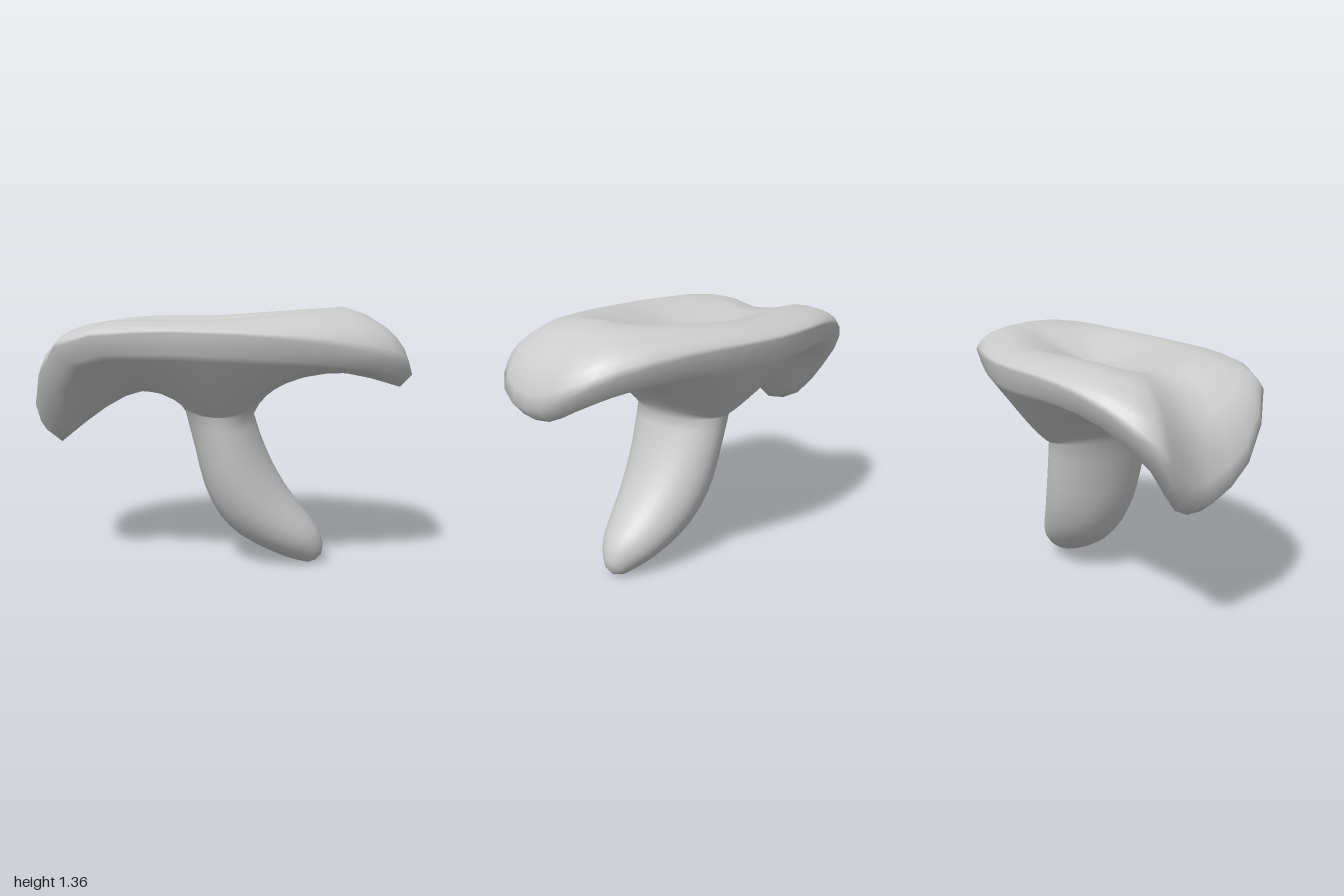
import * as THREE from 'three';

const SEG = 40;
const V = (x, y, z) => new THREE.Vector3(x, y, z);
const lerp = THREE.MathUtils.lerp;

// Cap rim, going round from +x through +z: x, y, z
const RIM = [
  [1.0, 1.02, 0.1], [0.9, 1.1, 0.3], [0.61, 1.17, 0.44], [0.3, 1.21, 0.54], [0, 1.23, 0.59],
  [-0.34, 1.23, 0.56], [-0.74, 1.16, 0.46], [-0.89, 0.87, 0.28], [-0.9, 0.71, 0.08], [-0.96, 0.76, -0.1],
  [-1.0, 0.97, -0.25], [-0.81, 1.15, -0.4], [-0.55, 1.23, -0.51], [-0.3, 1.25, -0.575], [-0.04, 1.25, -0.595],
  [0.2, 1.25, -0.57], [0.48, 1.24, -0.5], [0.8, 1.19, -0.39], [0.96, 1.1, -0.24], [0.99, 1.02, -0.08],
];

// Stem cross-sections from tip to neck: left x, y, right x, y, half depth
const STEM = [
  [0.49, 0.0, 0.57, 0.05, 0.05], [0.42, 0.015, 0.575, 0.11, 0.09], [0.3, 0.06, 0.54, 0.2, 0.15],
  [0.13, 0.15, 0.46, 0.3, 0.2], [0.02, 0.26, 0.37, 0.42, 0.235], [-0.06, 0.42, 0.295, 0.55, 0.26],
  [-0.11, 0.62, 0.235, 0.69, 0.275], [-0.16, 0.82, 0.2, 0.8, 0.285],
];

export function createModel() {
  const rimCurve = new THREE.CatmullRomCurve3(RIM.map((p) => V(...p)), true);
  const rim = Array.from({ length: SEG }, (_, i) => rimCurve.getPoint(i / SEG));
  const angles = rim.map((p) => Math.atan2(p.z / 0.59, p.x));
  const rings = [];

  // Bent, tapering stem
  const leftEdge = new THREE.CatmullRomCurve3(STEM.map((s) => V(s[0], s[1], s[4])));
  const rightEdge = new THREE.CatmullRomCurve3(STEM.map((s) => V(s[2], s[3], s[4])));
  const stemSteps = 14;
  for (let k = 0; k <= stemSteps; k++) {
    const l = leftEdge.getPoint(k / stemSteps);
    const r = rightEdge.getPoint(k / stemSteps);
    rings.push(angles.map((t) => {
      const m = (1 + Math.cos(t)) / 2;
      return V(lerp(l.x, r.x, m), lerp(l.y, r.y, m), l.z * Math.sin(t));
    }));
  }

  // Arched underside, from the neck out to the lower lip of the rim
  const neck = rings[rings.length - 1];
  for (const f of [0.04, 0.1, 0.2, 0.33, 0.48, 0.64, 0.8, 0.92, 1]) {
    rings.push(rim.map((p, i) => {
      const c2 = Math.cos(angles[i]) ** 2;
      const lip = V(p.x * (p.x < 0 ? 0.91 : 0.945), p.y - 0.1 + 0.04 * c2, p.z * 0.96);
      const q = neck[i].clone().lerp(lip, f);
      q.y += (0.19 * c2 - 0.025) * Math.sin(Math.PI * f ** 0.72);
      return q;
    }));
  }

  // Rounded rim, raised ridge and shallow dish of the upper side
  const centre = V(-0.03, 1.2, -0.03);
  const tops = rim.map((p, i) => {
    const c = Math.cos(angles[i]);
    const ridge = 1.315 + (c > 0 ? 0.045 * c : -0.08 * c ** 6) - 0.025 * Math.max(0, Math.sin(angles[i]));
    const at = (g, y) => V(lerp(centre.x, p.x, g), y, lerp(centre.z, p.z, g));
    return new THREE.CatmullRomCurve3([
      p,
      at(0.96, lerp(p.y, ridge, 0.38)),
      at(0.87, lerp(p.y, ridge, 0.7)),
      at(0.66, ridge),
      at(0.35, lerp(centre.y, ridge, 0.5)),
      at(0.12, lerp(centre.y, ridge, 0.08)),
    ]);
  });
  for (let k = 0; k <= 10; k++) rings.push(tops.map((c) => c.getPoint(k / 10)));

  // Skin the rings and close both ends
  const points = rings.flat();
  const index = [];
  for (let r = 0; r < rings.length - 1; r++) {
    for (let i = 0; i < SEG; i++) {
      const j = (i + 1) % SEG;
      const a = r * SEG + i, b = r * SEG + j;
      index.push(a, a + SEG, b, b, a + SEG, b + SEG);
    }
  }
  const tip = points.push(V(0.54, 0.01, 0)) - 1;
  const dish = points.push(centre) - 1;
  const last = (rings.length - 1) * SEG;
  for (let i = 0; i < SEG; i++) {
    const j = (i + 1) % SEG;
    index.push(tip, i, j, last + i, dish, last + j);
  }
  const geometry = new THREE.BufferGeometry().setFromPoints(points);
  geometry.setIndex(index);
  geometry.computeVertexNormals();

  const mesh = new THREE.Mesh(geometry, new THREE.MeshStandardMaterial({ color: 0xcccccc }));
  mesh.name = 'capAndStem';
  const group = new THREE.Group();
  group.name = 'mushroom';
  group.add(mesh);
  return group;
}
